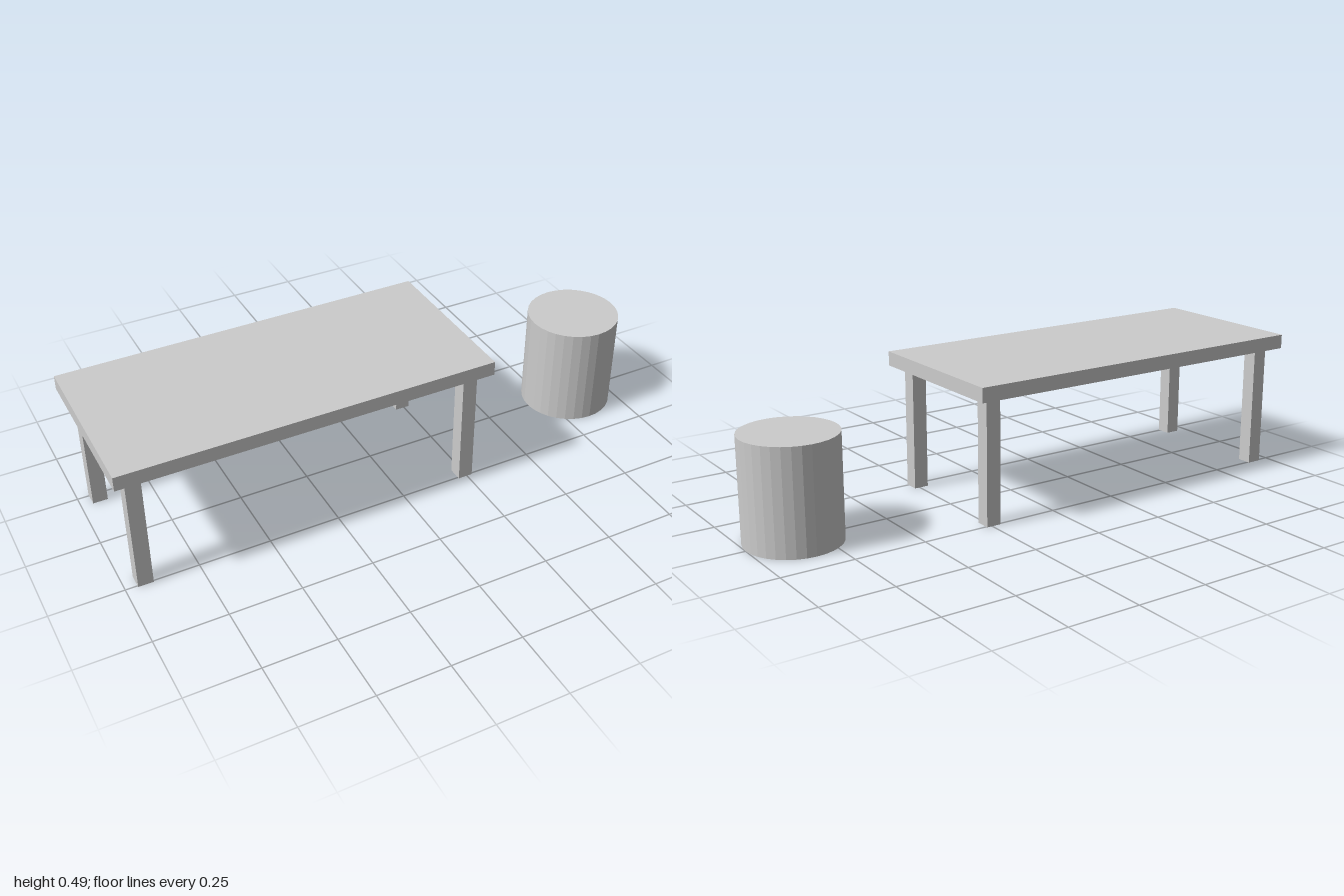
import * as THREE from 'three';

export function createModel() {
  const model = new THREE.Group();
  const grey = new THREE.MeshStandardMaterial({ color: 0xcccccc });
  grey.name = 'light grey';

  const add = (parent, name, geometry, x, y, z) => {
    const mesh = new THREE.Mesh(geometry, grey);
    mesh.name = name;
    mesh.position.set(x, y, z);
    parent.add(mesh);
  };

  // Table: slab on four square legs
  const table = new THREE.Group();
  table.name = 'table';
  table.position.x = -0.345;
  const legHeight = 0.435, topThickness = 0.05, legWidth = 0.052;
  add(table, 'tableTop', new THREE.BoxGeometry(1.31, topThickness, 0.59), 0, legHeight + topThickness / 2, 0);
  const legGeometry = new THREE.BoxGeometry(legWidth, legHeight, legWidth);
  for (const [side, x] of [['Left', 0.588], ['Right', -0.588]]) {
    for (const [end, z] of [['front', 0.23], ['back', -0.23]]) {
      add(table, `${end}${side}Leg`, legGeometry, x, legHeight / 2, z);
    }
  }
  model.add(table);

  // Round stool: faceted drum beside the table
  const stoolHeight = 0.362, stoolRadius = 0.164;
  const drum = new THREE.CylinderGeometry(stoolRadius, stoolRadius, stoolHeight, 32).toNonIndexed();
  drum.computeVertexNormals(); // flat facets
  add(model, 'stool', drum, 1 - stoolRadius, stoolHeight / 2, 0);

  return model;
}
